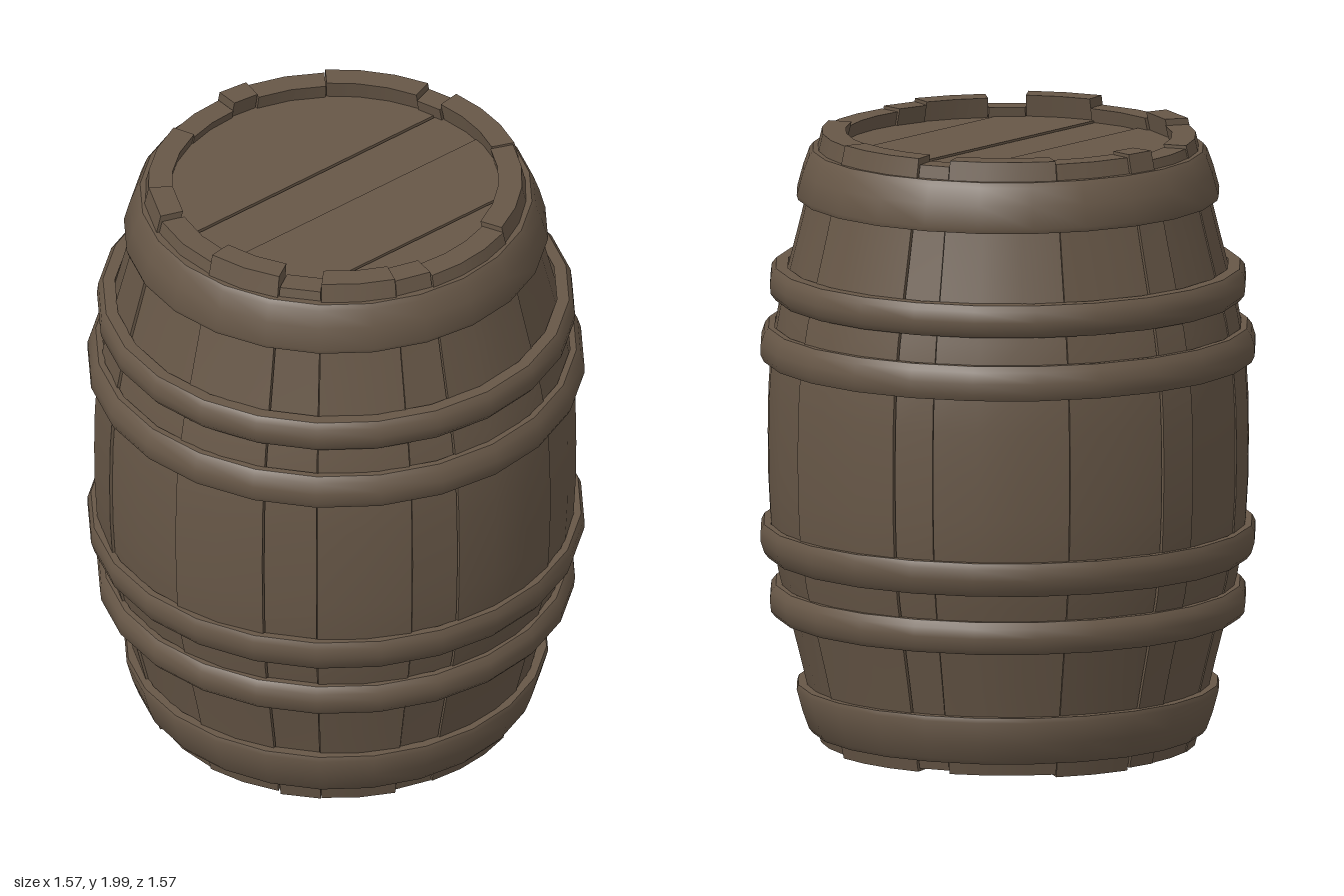
import * as THREE from 'three';
import { toCreasedNormals } from 'three/addons/utils/BufferGeometryUtils.js';

const wood = new THREE.MeshStandardMaterial({ color: 0x675747 });
wood.name = 'weathered brown';

// Outer radius of the barrel at height y (symmetric about y = 1)
const BULGE = [[0, 0.76], [0.2, 0.757], [0.35, 0.743], [0.5, 0.706], [0.75, 0.643], [1.0, 0.585]];
function barrelRadius(y) {
  const d = Math.min(Math.abs(y - 1), 1);
  for (let i = 1; i < BULGE.length; i++) {
    const [d0, r0] = BULGE[i - 1], [d1, r1] = BULGE[i];
    if (d <= d1) return r0 + (r1 - r0) * (d - d0) / (d1 - d0);
  }
  return 0.585;
}

// Staves: start angle in degrees (0 = front, 90 = left), bottom, top, radius offset
const STAVES = [
  [-161, 0.03, 1.97, 0], [-125, 0.02, 1.99, 0.004], [-109, 0.03, 1.97, -0.004], [-82, 0.03, 2.0, 0.003],
  [-58, 0.01, 1.96, -0.005], [-45, 0.02, 1.99, 0.003], [-22, 0.03, 1.98, -0.003], [-10, 0.03, 1.97, 0.002],
  [22, 0.04, 1.985, -0.002], [68, 0.03, 1.99, 0.004], [100, 0.04, 1.97, -0.004], [110, 0.03, 1.99, 0.002],
  [143, 0.02, 1.98, -0.003], [168, 0.03, 1.99, 0.003], [178, 0.03, 1.96, -0.003], [199],
];

// A block bent around the barrel: x becomes angle, y height, z radius
function staveGeometry(a0, a1, y0, y1, offset) {
  const geo = new THREE.BoxGeometry(1, 1, 1, Math.max(1, Math.round((a1 - a0) / 12)), 14, 1);
  const p = geo.attributes.position;
  for (let i = 0; i < p.count; i++) {
    const a = THREE.MathUtils.degToRad(a0 + (p.getX(i) + 0.5) * (a1 - a0));
    const y = y0 + (p.getY(i) + 0.5) * (y1 - y0);
    const r = barrelRadius(y) + offset - (p.getZ(i) < 0 ? 0.075 : 0);
    p.setXYZ(i, r * Math.sin(a), y, r * Math.cos(a));
  }
  geo.computeVertexNormals();
  return geo;
}

// Hoop profiles for the upper half: closed loop of [radius, height]
const HOOPS = {
  endHoop: [[0.635, 1.775], [0.664, 1.775], [0.669, 1.79], [0.65, 1.86], [0.63, 1.915],
    [0.618, 1.93], [0.585, 1.93], [0.635, 1.775]],
  outerHoop: [[0.715, 1.455], [0.735, 1.455], [0.751, 1.475], [0.754, 1.505], [0.75, 1.54],
    [0.735, 1.558], [0.697, 1.558], [0.715, 1.455]],
  innerHoop: [[0.75, 1.26], [0.773, 1.26], [0.783, 1.28], [0.783, 1.315], [0.772, 1.35],
    [0.758, 1.368], [0.738, 1.368], [0.75, 1.26]],
};

function hoopGeometry(profile, flip) {
  const pts = profile.map(([r, y]) => new THREE.Vector2(r, flip ? 2 - y : y));
  if (flip) pts.reverse();
  return toCreasedNormals(new THREE.LatheGeometry(pts, 24), 0.7);
}

// Head plank: slice of a disc between two z lines
function plankGeometry(z0, z1, radius, thickness) {
  const shape = new THREE.Shape();
  const a0 = Math.asin(z0 / radius), a1 = Math.asin(z1 / radius), n = 8;
  for (let i = 0; i <= n; i++) {
    const a = a0 + (a1 - a0) * i / n;
    const x = radius * Math.cos(a), y = radius * Math.sin(a);
    if (i === 0) shape.moveTo(x, y); else shape.lineTo(x, y);
  }
  for (let i = n; i >= 0; i--) {
    const a = a0 + (a1 - a0) * i / n;
    shape.lineTo(-radius * Math.cos(a), radius * Math.sin(a));
  }
  const geo = new THREE.ExtrudeGeometry(shape, { depth: thickness, bevelEnabled: false });
  geo.rotateX(Math.PI / 2); // shape y becomes +z, extrusion goes down
  return geo;
}

export function createModel() {
  const barrel = new THREE.Group();
  barrel.name = 'barrel';
  const add = (parent, name, geo) => {
    const mesh = new THREE.Mesh(geo, wood);
    mesh.name = name;
    parent.add(mesh);
    return mesh;
  };

  // Staves of uneven width and length
  const staves = new THREE.Group();
  staves.name = 'staves';
  for (let i = 0; i < STAVES.length - 1; i++) {
    const [a, y0, y1, offset] = STAVES[i];
    add(staves, 'stave', staveGeometry(a + 0.15, STAVES[i + 1][0] - 0.15, y0, y1, offset));
  }
  barrel.add(staves);

  // Three hoops above the middle, mirrored below
  for (const [name, profile] of Object.entries(HOOPS)) {
    add(barrel, name + 'Top', hoopGeometry(profile, false));
    add(barrel, name + 'Bottom', hoopGeometry(profile, true));
  }

  // Recessed plank heads at both ends
  const seams = [-0.535, -0.12, 0.062, 0.355, 0.535];
  const drop = [0, 0.006, 0, 0.005];
  for (let i = 0; i < 4; i++) {
    const geo = plankGeometry(seams[i] + 0.002, seams[i + 1] - 0.002, 0.54, 0.05);
    add(barrel, 'headPlankTop', geo).position.y = 1.93 - drop[i];
    add(barrel, 'headPlankBottom', geo).position.y = 0.12 + drop[i];
  }
  return barrel;
}
